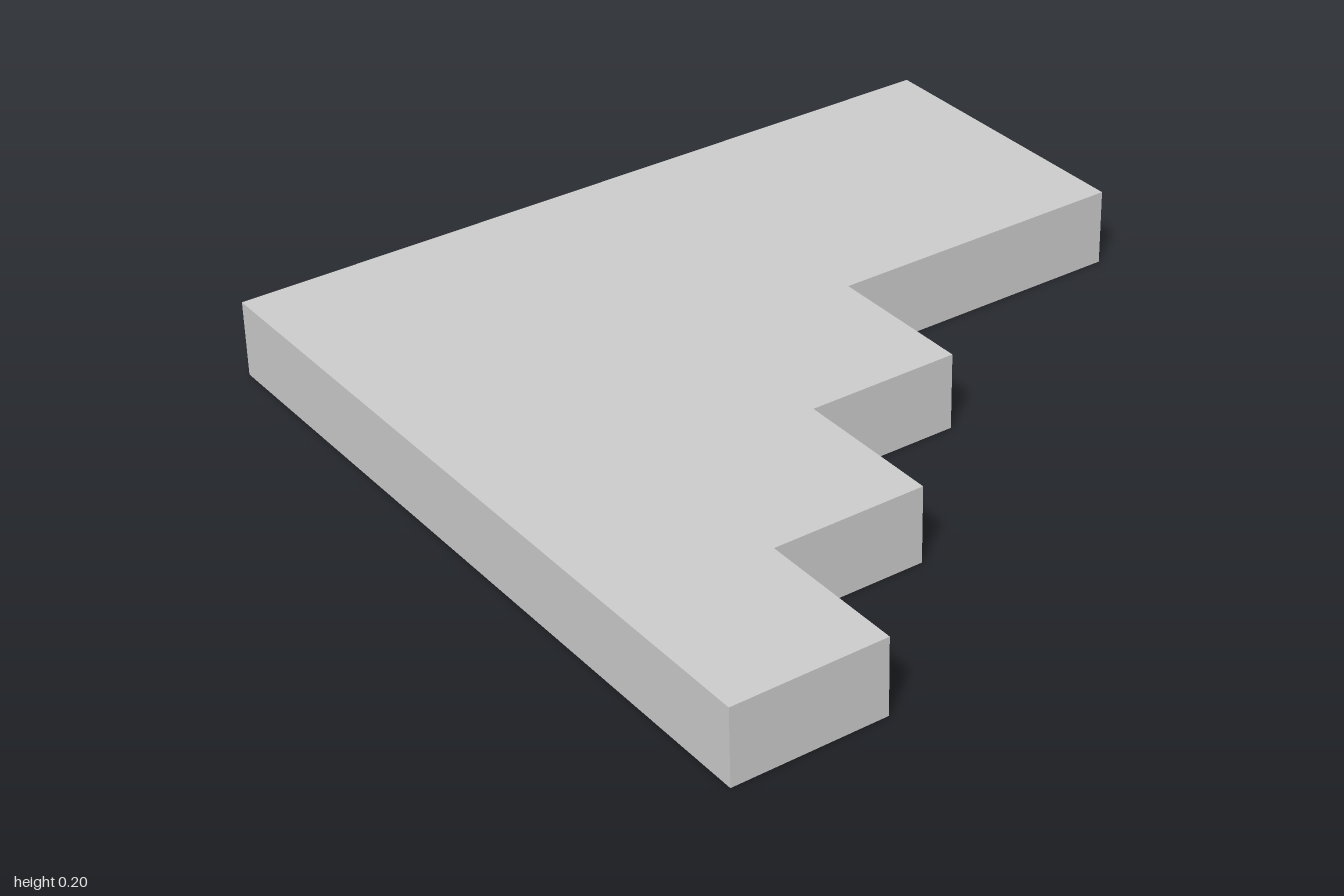
import * as THREE from 'three';

const THICKNESS = 0.2;
const STEP = 0.4;

export function createModel() {
  const group = new THREE.Group();
  group.name = 'steppedSlab';

  // Plan outline: shape y points to the back (-z)
  const outline = new THREE.Shape();
  outline.moveTo(-1, -1);
  outline.lineTo(1, -1);

  // Three equal steps along the back right edge
  for (let i = 0; i < 3; i++) {
    const x = 1 - i * STEP;
    const y = -1 + (i + 1) * STEP;
    outline.lineTo(x, y);
    outline.lineTo(x - STEP, y);
  }

  // Long arm reaching the back
  outline.lineTo(-0.2, 1);
  outline.lineTo(-1, 1);
  outline.closePath();

  // Lay the extrusion flat on the ground
  const geometry = new THREE.ExtrudeGeometry(outline, { depth: THICKNESS, bevelEnabled: false });
  geometry.rotateX(-Math.PI / 2);

  const slab = new THREE.Mesh(
    geometry,
    new THREE.MeshStandardMaterial({ color: 0xcccccc, flatShading: true })
  );
  slab.name = 'slab';
  group.add(slab);
  return group;
}
